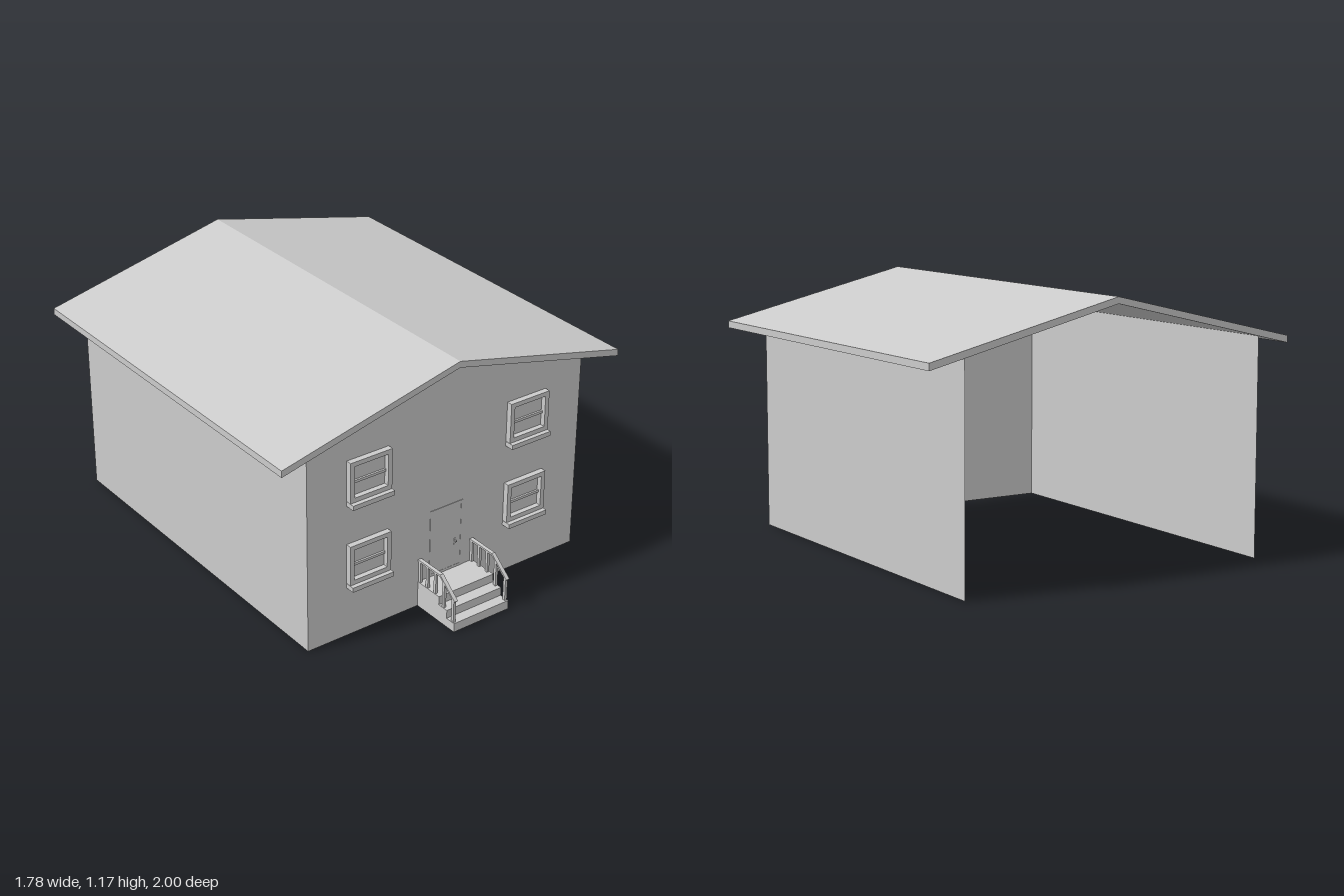
import * as THREE from 'three';

const grey = new THREE.MeshStandardMaterial({ color: 0xcccccc, flatShading: true });
const sheet = new THREE.MeshStandardMaterial({ color: 0xcccccc, flatShading: true, side: THREE.DoubleSide });
const WALL_Z = 0.75, BACK_Z = -1, HALF_W = 0.73;

// Box given by its minimum and maximum corners
function box(parent, name, [x0, y0, z0], [x1, y1, z1]) {
  const mesh = new THREE.Mesh(new THREE.BoxGeometry(x1 - x0, y1 - y0, z1 - z0), grey);
  mesh.position.set((x0 + x1) / 2, (y0 + y1) / 2, (z0 + z1) / 2);
  mesh.name = name;
  parent.add(mesh);
  return mesh;
}

function shapeOf(points) {
  return new THREE.Shape(points.map(([x, y]) => new THREE.Vector2(x, y)));
}

// Flat rectangle, rotated about x or y
function panel(parent, name, w, h, position, rx = 0, ry = 0) {
  const mesh = new THREE.Mesh(new THREE.PlaneGeometry(w, h), sheet);
  mesh.position.set(...position);
  mesh.rotation.set(rx, ry, 0);
  mesh.name = name;
  parent.add(mesh);
}

// Extruded rectangular frame
function frame(parent, name, w, h, border, depth, position) {
  const [a, b] = [w / 2, h / 2], [c, d] = [a - border, b - border];
  const shape = shapeOf([[-a, -b], [a, -b], [a, b], [-a, b]]);
  shape.holes.push(shapeOf([[-c, -d], [-c, d], [c, d], [c, -d]]));
  const mesh = new THREE.Mesh(new THREE.ExtrudeGeometry(shape, { depth, bevelEnabled: false }), grey);
  mesh.position.set(...position);
  mesh.name = name;
  parent.add(mesh);
}

function makeWindow(x, y) {
  const g = new THREE.Group();
  g.name = 'window';
  frame(g, 'windowFrame', 0.213, 0.19, 0.021, 0.027, [0, 0.118, 0]);
  box(g, 'sill', [-0.107, 0, 0], [0.107, 0.022, 0.046]);
  box(g, 'meetingRail', [-0.087, 0.104, 0], [0.087, 0.116, 0.012]);
  panel(g, 'glass', 0.172, 0.15, [0, 0.118, 0.003]);
  g.position.set(x, y, WALL_Z);
  return g;
}

function makeDoor() {
  const g = new THREE.Group();
  g.name = 'door';
  frame(g, 'doorFrame', 0.18, 0.33, 0.012, 0.016, [0, 0.288, WALL_Z - 0.014]);
  box(g, 'doorLeaf', [-0.078, 0.125, WALL_Z - 0.007], [0.078, 0.441, WALL_Z + 0.001]);
  frame(g, 'doorWindow', 0.07, 0.09, 0.008, 0.006, [0, 0.37, WALL_Z - 0.012]);
  // Handle and lock
  box(g, 'handlePlate', [0.043, 0.24, WALL_Z], [0.051, 0.272, WALL_Z + 0.004]);
  box(g, 'handle', [0.043, 0.256, WALL_Z], [0.051, 0.262, WALL_Z + 0.012]);
  return g;
}

// One sloping or level handrail piece between two (z, y) points
function railBar(parent, x, [z0, y0], [z1, y1]) {
  const mesh = new THREE.Mesh(new THREE.BoxGeometry(0.018, 0.009, Math.hypot(z1 - z0, y1 - y0)), grey);
  mesh.position.set(x, (y0 + y1) / 2, (z0 + z1) / 2);
  mesh.rotation.x = -Math.atan2(y1 - y0, z1 - z0);
  mesh.name = 'handrail';
  parent.add(mesh);
}

function makeSteps() {
  const g = new THREE.Group();
  g.name = 'frontSteps';
  const steps = [[1.0, 0.95, 0.043], [0.95, 0.895, 0.083], [0.895, WALL_Z, 0.123]];
  let below = 0;
  // Hollow treads and risers
  for (const [front, back, top] of steps) {
    panel(g, 'riser', 0.3, top - below, [0, (top + below) / 2, front]);
    panel(g, 'tread', 0.3, front - back, [0, top, (front + back) / 2], -Math.PI / 2);
    below = top;
  }
  // Stepped side panels
  const outline = [[WALL_Z, 0], [1, 0], [1, 0.043], [0.95, 0.043], [0.95, 0.083],
    [0.895, 0.083], [0.895, 0.123], [WALL_Z, 0.123]].map(([z, y]) => [-z, y]);
  for (const s of [-1, 1]) {
    const side = new THREE.Mesh(new THREE.ShapeGeometry(shapeOf(outline)), sheet);
    side.rotation.y = Math.PI / 2;
    side.position.x = s * 0.15;
    side.name = 'stepSide';
    g.add(side);
    // Railing
    const x = s * 0.142;
    railBar(g, x, [WALL_Z, 0.231], [0.9, 0.231]);
    railBar(g, x, [0.897, 0.233], [0.998, 0.15]);
    for (const z of [0.985, 0.92, 0.862, 0.808, 0.757]) {
      const foot = z > 0.95 ? 0.043 : z > 0.895 ? 0.083 : 0.123;
      const top = z > 0.897 ? 0.231 - (z - 0.897) * 0.82 : 0.231;
      box(g, 'baluster', [x - 0.006, foot, z - 0.007], [x + 0.006, top, z + 0.007]);
    }
  }
  return g;
}

export function createModel() {
  const house = new THREE.Group();
  house.name = 'house';

  // Thin walls, open at the back and below
  const eave = 0.963;
  const front = new THREE.Mesh(new THREE.ShapeGeometry(shapeOf(
    [[-HALF_W, 0], [HALF_W, 0], [HALF_W, eave], [0, 1.138], [-HALF_W, eave]])), sheet);
  front.position.z = WALL_Z;
  front.name = 'frontWall';
  house.add(front);
  for (const s of [-1, 1]) {
    panel(house, 'sideWall', WALL_Z - BACK_Z, eave,
      [s * HALF_W, eave / 2, (WALL_Z + BACK_Z) / 2], 0, s * Math.PI / 2);
  }

  // Gabled roof slab
  const roof = new THREE.Mesh(new THREE.ExtrudeGeometry(shapeOf(
    [[-0.89, 0.925], [0, 1.138], [0.89, 0.925], [0.89, 0.956], [0, 1.167], [-0.89, 0.956]]),
  { depth: 1.81, bevelEnabled: false }), grey);
  roof.position.z = BACK_Z;
  roof.name = 'roof';
  house.add(roof);

  for (const x of [-0.424, 0.424]) {
    for (const y of [0.24, 0.638]) house.add(makeWindow(x, y));
  }
  house.add(makeDoor(), makeSteps());
  return house;
}
